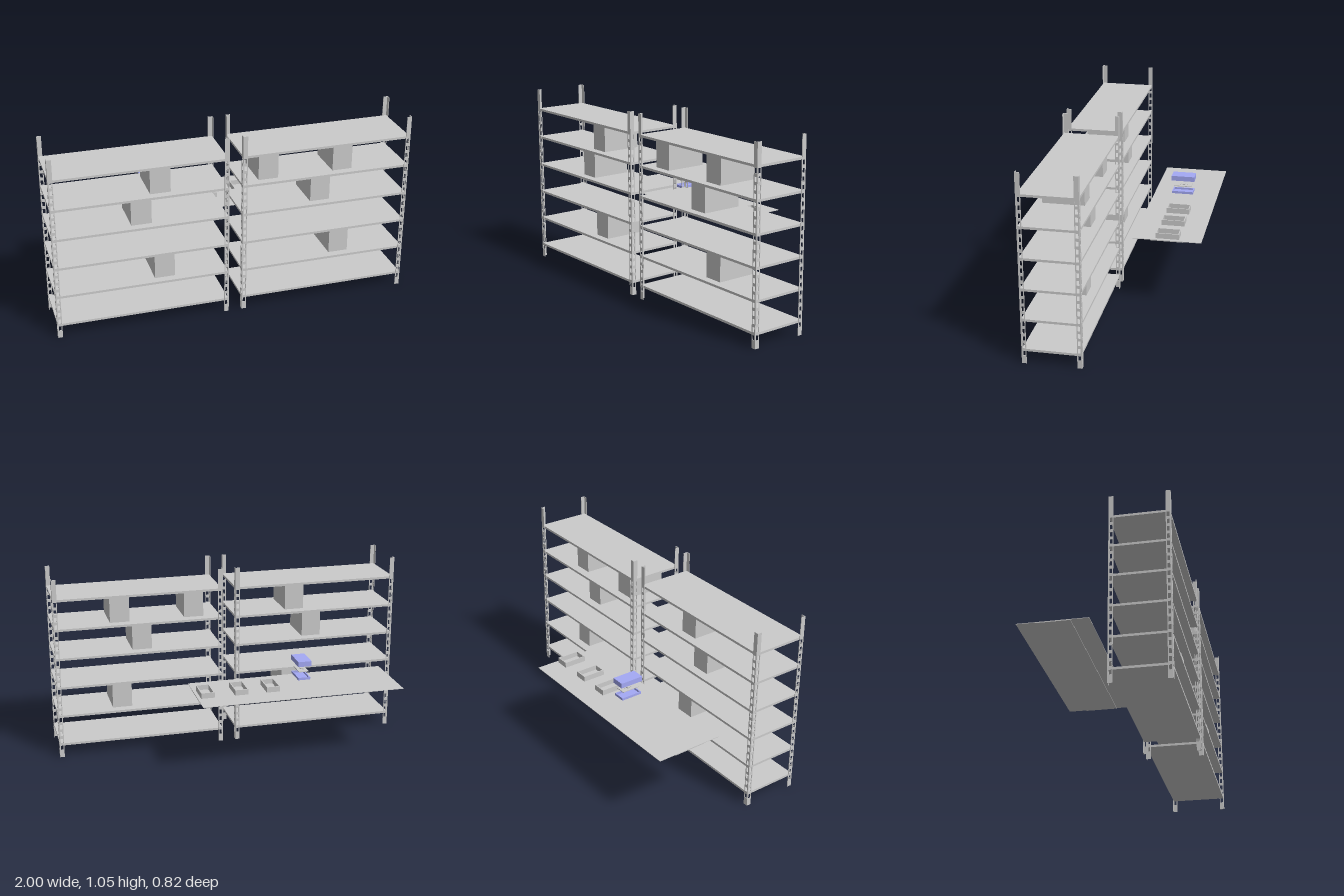
import * as THREE from 'three';

const GREY = new THREE.MeshStandardMaterial({ color: 0xcccccc, side: THREE.DoubleSide });
const BLUE = new THREE.MeshStandardMaterial({ color: 0xa4a9f5, side: THREE.DoubleSide });

// Box given by its limits on each axis
function box(parent, name, [x0, x1], [y0, y1], [z0, z1], material = GREY) {
  const mesh = new THREE.Mesh(new THREE.BoxGeometry(x1 - x0, y1 - y0, z1 - z0), material);
  mesh.position.set((x0 + x1) / 2, (y0 + y1) / 2, (z0 + z1) / 2);
  mesh.name = name;
  parent.add(mesh);
  return mesh;
}

function rect(target, x0, y0, x1, y1) {
  target.moveTo(x0, y0);
  target.lineTo(x1, y0);
  target.lineTo(x1, y1);
  target.lineTo(x0, y1);
  target.closePath();
  return target;
}

const POST_W = 0.026, POST_T = 0.003, POST_H = 1.05;

// One slotted leg of an angle post, running from x = 0 (the corner) to x = POST_W
function slottedPlate() {
  const shape = rect(new THREE.Shape(), 0, 0, POST_W, POST_H);
  for (let i = 0; i < 21; i++) {
    const y = 0.045 + i * 0.0425;
    shape.holes.push(rect(new THREE.Path(), 0.007, y, 0.021, y + 0.026));
  }
  return new THREE.ExtrudeGeometry(shape, { depth: POST_T, bevelEnabled: false });
}

// L-shaped post with its outer corner at the origin, legs along +x and +z
function anglePost(plate) {
  const post = new THREE.Group();
  post.name = 'anglePost';
  const legX = new THREE.Mesh(plate, GREY);
  legX.name = 'postLegAcross';
  const legZ = new THREE.Mesh(plate, GREY);
  legZ.name = 'postLegDeep';
  legZ.rotation.y = -Math.PI / 2;
  legZ.position.x = POST_T;
  post.add(legX, legZ);
  return post;
}

const shelfTop = (i) => 0.083 + i * 0.1705;

// Rack with four corner posts, six shelves and stored cartons [shelf index, centre x]
function rack(name, x0, x1, cartons, plate) {
  const g = new THREE.Group();
  g.name = name;
  const z0 = 0.09, z1 = 0.41;
  for (const sx of [1, -1]) for (const sz of [1, -1]) {
    const post = anglePost(plate);
    post.position.set(sx > 0 ? x0 : x1, 0, sz > 0 ? z0 : z1);
    post.scale.set(sx, 1, sz);
    g.add(post);
  }
  for (let i = 0; i < 6; i++) {
    const top = shelfTop(i);
    box(g, 'shelf', [x0 + POST_T, x1 - POST_T], [top - 0.013, top], [z0 + POST_T, z1 - POST_T]);
  }
  for (const [level, x] of cartons) {
    const y = shelfTop(level) + 0.002;
    box(g, 'carton', [x - 0.056, x + 0.056], [y, y + 0.146], [0.14, 0.367]);
  }
  return g;
}

// Hollow rectangular tray: four walls and a plate at the bottom, or at the top for a lid
function tray(name, [x0, x1], [y0, y1], [z0, z1], t, material, lid = false) {
  const g = new THREE.Group();
  g.name = name;
  for (const [a, b] of [[x0, x0 + t], [x1 - t, x1]]) box(g, 'sideWall', [a, b], [y0, y1], [z0, z1], material);
  for (const [a, b] of [[z0, z0 + t], [z1 - t, z1]]) box(g, 'endWall', [x0 + t, x1 - t], [y0, y1], [a, b], material);
  const plateY = lid ? [y1 - 0.004, y1] : [y0, y0 + 0.003];
  box(g, lid ? 'cover' : 'floor', [x0 + t, x1 - t], plateY, [z0 + t, z1 - t], material);
  return g;
}

export function createModel() {
  const model = new THREE.Group();
  model.name = 'storageRacksAndWorkTable';
  const plate = slottedPlate();

  model.add(rack('rightRack', -1, -0.038, [[4, -0.405], [3, -0.512], [1, -0.39]], plate));
  model.add(rack('leftRack', 0.037, 1, [[4, 0.195], [4, 0.622], [3, 0.498], [1, 0.622]], plate));

  // Thin work surface with a narrower backing plate
  const table = new THREE.Group();
  table.name = 'workSurface';
  box(table, 'surfacePanel', [-0.88, 0.272], [0.424, 0.427], [-0.412, -0.03]);
  box(table, 'backingPlate', [-0.88, 0.272], [0.421, 0.424], [-0.31, -0.127]);
  model.add(table);

  // Row of open trays on the surface
  for (const x of [-0.158, 0.024, 0.216]) {
    model.add(tray('openTray', [x - 0.038, x + 0.038], [0.428, 0.459], [-0.286, -0.154], 0.006, GREY));
  }

  // Separated device: lower case, circuit board, lid
  const device = new THREE.Group();
  device.name = 'separatedDevice';
  device.add(tray('lowerCase', [-0.373, -0.303], [0.481, 0.495], [-0.28, -0.156], 0.006, BLUE));
  box(device, 'circuitBoard', [-0.366, -0.31], [0.524, 0.528], [-0.27, -0.165]);
  box(device, 'boardChip', [-0.35, -0.33], [0.528, 0.534], [-0.229, -0.214]);
  for (const z of [-0.243, -0.2]) box(device, 'boardPart', [-0.345, -0.335], [0.528, 0.53], [z - 0.004, z + 0.004]);
  device.add(tray('deviceLid', [-0.376, -0.3], [0.562, 0.591], [-0.288, -0.152], 0.006, BLUE, true));
  model.add(device);

  return model;
}
